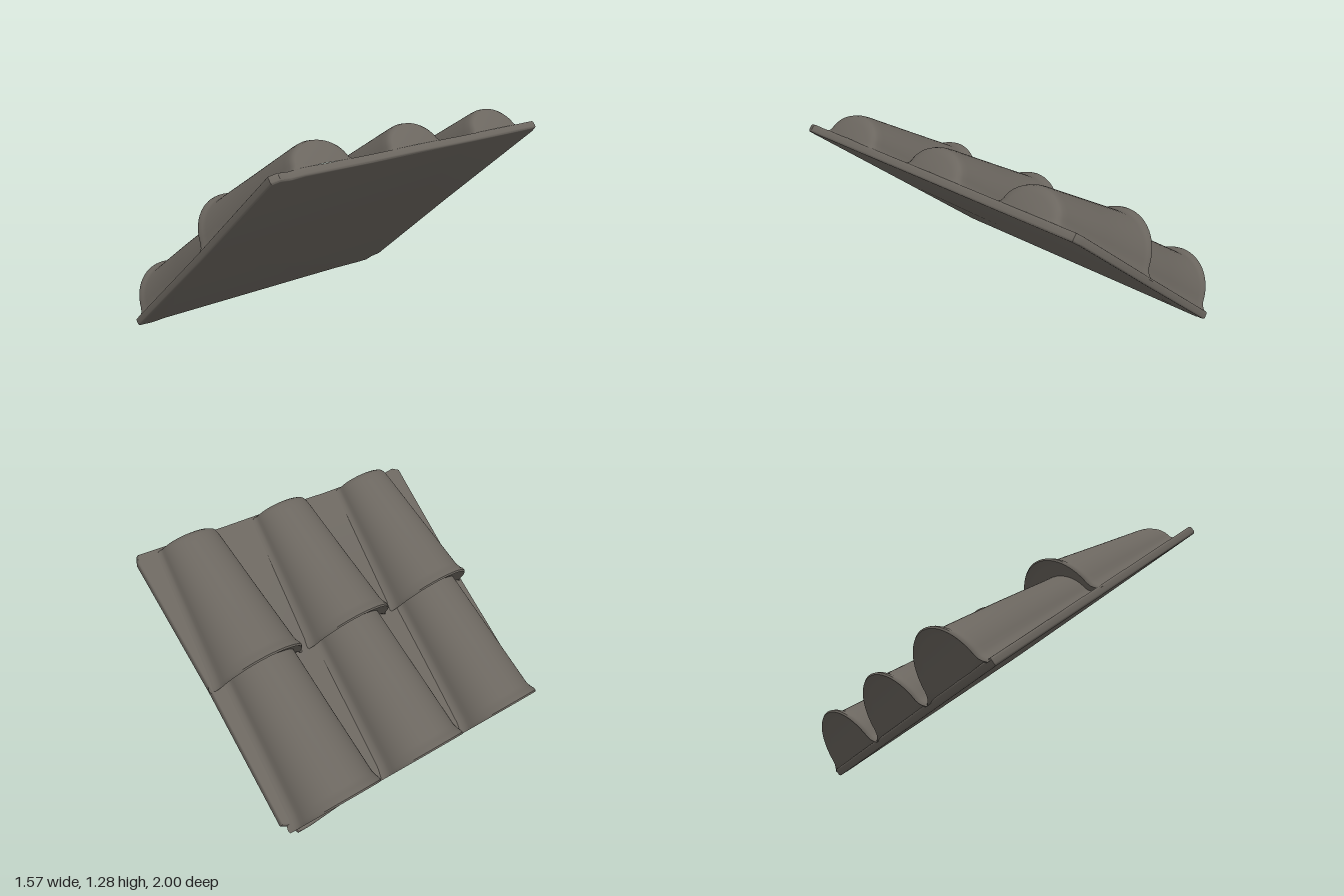
import * as THREE from 'three';
import { toCreasedNormals } from 'three/addons/utils/BufferGeometryUtils.js';

const BASE = 0.048; // height of the slab's upper face

// Normalised barrel section: flared foot, arch, flared foot
function archSection(steps = 28) {
  const pts = [[1.19, -0.04], [1.08, 0.03], [1.02, 0.09]];
  for (let i = 0; i <= steps; i++) {
    const a = 0.17 + (Math.PI - 0.34) * i / steps;
    pts.push([Math.cos(a), Math.sin(a)]);
  }
  pts.push([-1.02, 0.09], [-1.08, 0.03], [-1.19, -0.04]);
  return pts;
}

// Loft the section through rings of [distance up the slope, half width, height]
function tileGeometry(rings) {
  const section = archSection();
  const n = section.length;
  const positions = [];
  const index = [];
  rings.forEach(([s, halfWidth, height], i) => {
    for (const [u, v] of section) {
      positions.push(s, BASE + (height - BASE) * v, u * halfWidth);
    }
    if (i === rings.length - 1) return;
    for (let j = 0; j < n - 1; j++) {
      const a = i * n + j;
      const b = a + n;
      index.push(a, b, a + 1, b, b + 1, a + 1);
    }
  });
  const geometry = new THREE.BufferGeometry();
  geometry.setAttribute('position', new THREE.Float32BufferAttribute(positions, 3));
  geometry.setIndex(index);
  return toCreasedNormals(geometry, 0.75);
}

export function createModel() {
  const model = new THREE.Group();
  model.name = 'tiledRoofSection';
  const clay = new THREE.MeshStandardMaterial({ color: 0x6b665f });
  clay.name = 'grey brown clay';

  // Local x runs up the slope, local y stands off the roof
  const roof = new THREE.Group();
  roof.name = 'slopedRoof';
  roof.rotation.z = Math.atan2(1.16, 1.36);
  roof.position.set(-0.575, 0, 0);
  model.add(roof);

  // Slab with a slightly uneven outline, as [along slope, z]
  const outline = [
    [0.045, 0.965], [0.03, 0.88], [0.045, 0.8], [0.04, 0.3], [0.035, -0.3],
    [0.03, -0.6], [0.012, -0.84], [0.012, -0.91], [0.06, -0.93], [0.085, -0.982],
    [0.9, -0.972], [1.74, -0.988], [1.777, -0.97], [1.775, -0.8], [1.77, -0.4],
    [1.772, 0], [1.765, 0.35], [1.77, 0.8], [1.758, 0.88], [1.768, 0.95],
    [1.75, 0.985], [0.9, 0.962],
  ];
  const bevel = 0.012;
  const slabGeometry = new THREE.ExtrudeGeometry(
    new THREE.Shape(outline.map(([s, z]) => new THREE.Vector2(s, -z))),
    { depth: BASE - 2 * bevel, bevelEnabled: true, bevelThickness: bevel, bevelSize: bevel, bevelSegments: 3 }
  );
  slabGeometry.rotateX(-Math.PI / 2);
  slabGeometry.translate(0, bevel, 0);
  const slab = new THREE.Mesh(toCreasedNormals(slabGeometry, 0.6), clay);
  slab.name = 'roofSlab';
  roof.add(slab);

  // Closed lower end with a rounded, flared lip
  const lip = (s) => [
    [s + 0.02, 0, BASE], [s + 0.02, 0.225, 0.30], [s + 0.008, 0.255, 0.338],
    [s, 0.268, 0.352], [s + 0.01, 0.274, 0.359], [s + 0.025, 0.273, 0.354],
    [s + 0.045, 0.268, 0.335], [s + 0.075, 0.262, 0.32],
  ];
  const lowerTile = tileGeometry([...lip(0.018), [0.5, 0.24, 0.284], [0.99, 0.218, 0.234]]);
  const upperTile = tileGeometry([
    ...lip(0.893), [1.35, 0.224, 0.262], [1.7, 0.19, 0.21], [1.735, 0.186, 0.202],
    [1.757, 0.18, 0.19], [1.766, 0.17, 0.175], [1.774, 0.14, 0.145], [1.776, 0, BASE],
  ]);

  // Two overlapping courses of three barrel tiles
  const courses = [
    ['lowerTile', lowerTile, [-0.65, -0.005, 0.645]],
    ['upperTile', upperTile, [-0.665, -0.005, 0.65]],
  ];
  for (const [name, geometry, centres] of courses) {
    centres.forEach((z, i) => {
      const tile = new THREE.Mesh(geometry, clay);
      tile.name = name + (i + 1);
      tile.position.z = z;
      roof.add(tile);
    });
  }
  return model;
}
